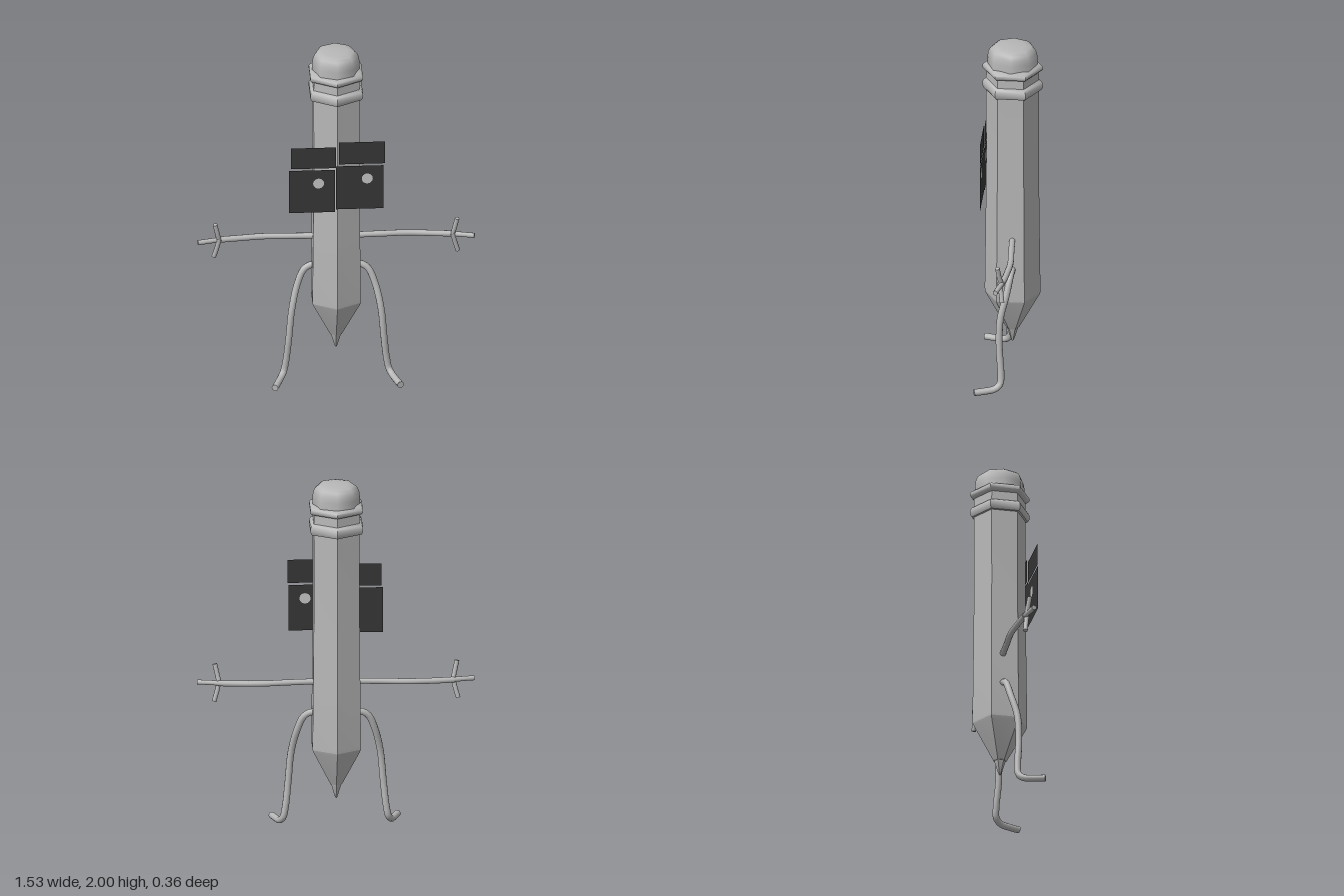
import * as THREE from 'three';
import { toCreasedNormals, mergeGeometries } from 'three/addons/utils/BufferGeometryUtils.js';

const AXIS_Z = -0.01; // the pencil stands slightly behind the centre

export function createModel() {
  const group = new THREE.Group();
  const paint = (name, color, side = THREE.FrontSide) => {
    const m = new THREE.MeshStandardMaterial({ color, side });
    m.name = name;
    return m;
  };
  const grey = paint('pencil grey', 0xb8b8b8);
  const dark = paint('plate charcoal', 0x363636, THREE.DoubleSide);
  const light = paint('pupil light grey', 0xc4c4c4, THREE.DoubleSide);

  const add = (name, geometry, material, parent = group) => {
    const mesh = new THREE.Mesh(geometry, material);
    mesh.name = name;
    parent.add(mesh);
    return mesh;
  };

  // Faceted turned part: profile of [radius, y] from bottom to top
  const turned = (name, profile, sides, crease) => {
    const pts = profile.map(([r, y]) => new THREE.Vector2(r, y));
    const mesh = add(name, toCreasedNormals(new THREE.LatheGeometry(pts, sides), crease), grey);
    mesh.position.z = AXIS_Z;
    return mesh;
  };

  // Hexagonal pencil
  turned('lead', [[0, 0.175], [0.008, 0.185], [0.033, 0.265], [0, 0.27]], 6, 0.5);
  turned('sharpenedCone', [[0, 0.262], [0.036, 0.262], [0.147, 0.465], [0.153, 0.48]], 6, 0.5);
  turned('body', [[0.153, 0.48], [0.154, 0.5], [0.149, 0.9], [0.145, 1.3], [0.146, 1.74]], 6, 0.5);

  // Metal sleeve with two rounded rings
  turned('ferrule', [
    [0.14, 1.728], [0.158, 1.73], [0.167, 1.745], [0.167, 1.77], [0.158, 1.785],
    [0.146, 1.792], [0.144, 1.842], [0.158, 1.847], [0.167, 1.857], [0.167, 1.873],
    [0.158, 1.884], [0.13, 1.889], [0, 1.889],
  ], 6, 0.9);

  // Eraser
  const eraser = turned('eraser', [
    [0.131, 1.88], [0.131, 1.925], [0.127, 1.955], [0.117, 1.98], [0.1, 1.993], [0.07, 1.999], [0, 2],
  ], 8, 0.9);
  eraser.scale.z = 1.06;

  // Tube through points, closed by a disc at its far end
  const limb = (name, points, radius, parent) => {
    const v = points.map((p) => new THREE.Vector3(...p));
    const curve = new THREE.CatmullRomCurve3(v);
    const tube = new THREE.TubeGeometry(curve, points.length > 3 ? 40 : 12, radius, 10);
    const cap = new THREE.CircleGeometry(radius, 10);
    const turn = new THREE.Quaternion().setFromUnitVectors(new THREE.Vector3(0, 0, 1), curve.getTangent(1));
    cap.applyQuaternion(turn).translate(...points[points.length - 1]);
    add(name, mergeGeometries([tube, cap]), grey, parent);
  };

  for (const [side, s] of [['left', 1], ['right', -1]]) {
    const m = (pts) => pts.map(([x, y, z]) => [x * s, y, z]);

    // Arm with a three-fingered hand
    const arm = new THREE.Group();
    arm.name = side + 'Arm';
    group.add(arm);
    limb(side + 'ForeArm', m([[0.09, 0.858, -0.018], [0.25, 0.857, -0.026], [0.4, 0.855, -0.034],
      [0.53, 0.853, -0.024], [0.65, 0.853, -0.01]]), 0.017, arm);
    limb(side + 'MiddleFinger', m([[0.64, 0.853, -0.01], [0.7, 0.853, 0.004], [0.762, 0.852, 0.018]]), 0.014, arm);
    limb(side + 'UpperFinger', m([[0.642, 0.845, -0.008], [0.652, 0.89, 0.004], [0.667, 0.958, 0.014]]), 0.013, arm);
    limb(side + 'LowerFinger', m([[0.642, 0.865, 0.004], [0.655, 0.81, -0.004], [0.672, 0.75, -0.012]]), 0.013, arm);

    // Leg bending down into a forward foot
    limb(side + 'Leg', m([[0.1, 0.682, -0.02], [0.14, 0.68, -0.018], [0.178, 0.655, -0.012], [0.215, 0.57, 0.004],
      [0.246, 0.43, 0.036], [0.262, 0.26, 0.04], [0.277, 0.12, 0.03], [0.29, 0.055, 0.033],
      [0.307, 0.03, 0.06], [0.325, 0.024, 0.11], [0.346, 0.022, 0.172]]), 0.019, group);
  }

  // Flat eye and brow plates in front of the pencil
  const plate = (name, x0, x1, y0, y1, pupil) => {
    const shape = new THREE.Shape();
    shape.moveTo(x0, y0).lineTo(x1, y0).lineTo(x1, y1).lineTo(x0, y1).closePath();
    if (pupil) {
      const hole = new THREE.Path();
      hole.absarc(pupil[0], pupil[1], 0.03, 0, Math.PI * 2, true);
      shape.holes.push(hole);
      const disc = add(name + 'Pupil', new THREE.CircleGeometry(0.0305, 24), light);
      disc.position.set(pupil[0], pupil[1], 0.146);
    }
    add(name, new THREE.ShapeGeometry(shape, 12), dark).position.z = 0.146;
  };
  plate('rightBrow', -0.257, -0.009, 1.354, 1.481);
  plate('leftBrow', 0.008, 0.261, 1.376, 1.51);
  plate('rightEye', -0.267, -0.014, 1.084, 1.343, [-0.104, 1.261]);
  plate('leftEye', -0.007, 0.254, 1.1, 1.364, [0.164, 1.285]);

  return group;
}
